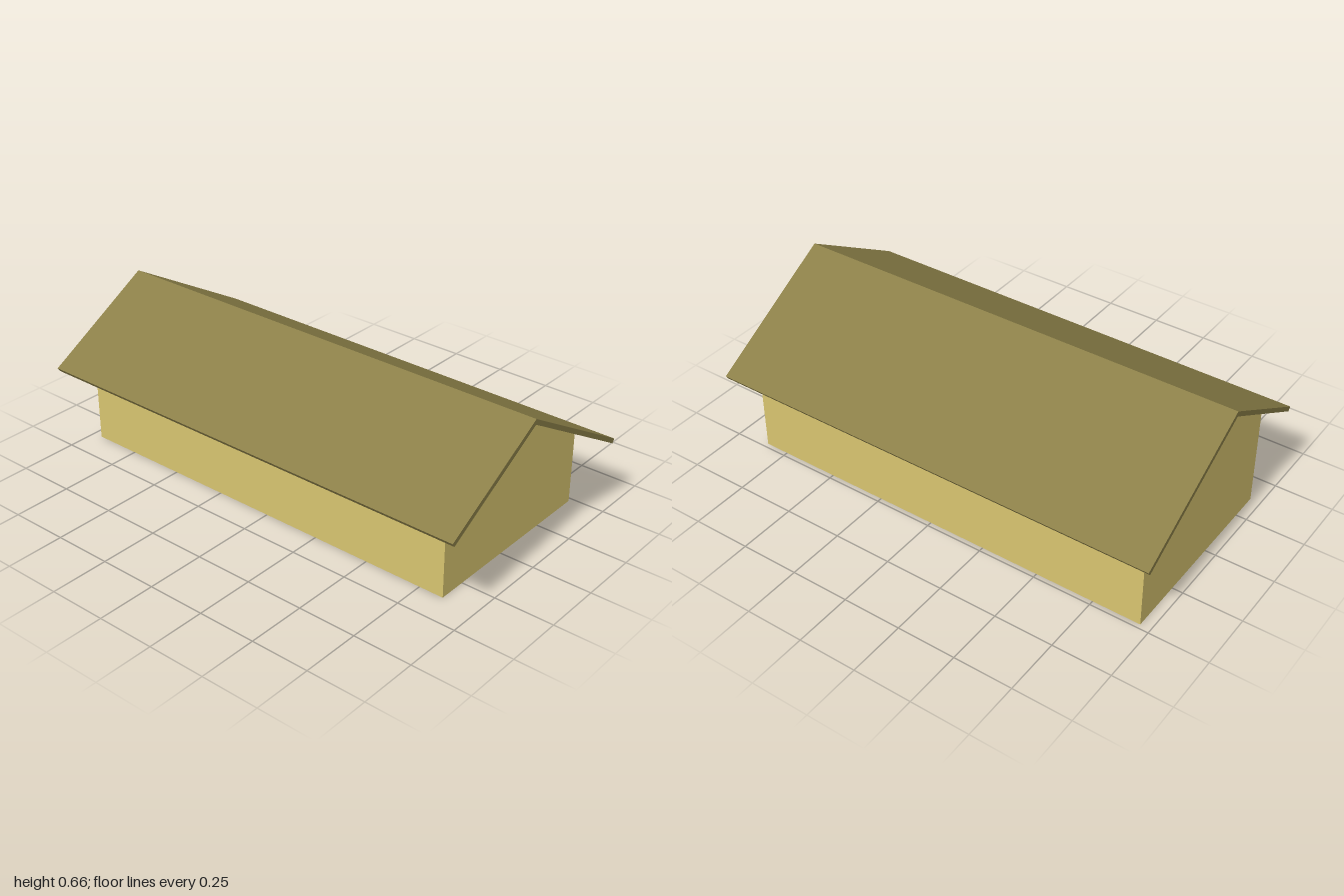
import * as THREE from 'three';

const RIDGE_X = -0.055;
const SLOPE = Math.tan(Math.PI / 6);
const LEFT = 0.48, RIGHT = -0.37, FRONT = 0.855, BACK = -0.955, WALL = 0.02;

// height of the roof underside at x
const eaveY = (x) => 0.635 - Math.abs(x - RIDGE_X) * SLOPE;

// prism with an x-y outline running from z0 to z1
function prism(name, points, z0, z1, material) {
  const shape = new THREE.Shape(points.map(([x, y]) => new THREE.Vector2(x, y)));
  const geometry = new THREE.ExtrudeGeometry(shape, { depth: z1 - z0, bevelEnabled: false });
  geometry.translate(0, 0, z0);
  const mesh = new THREE.Mesh(geometry, material);
  mesh.name = name;
  return mesh;
}

export function createModel() {
  const house = new THREE.Group();
  house.name = 'gabledShed';
  const wallMat = new THREE.MeshStandardMaterial({ color: 0xd8c570 });
  const roofMat = new THREE.MeshStandardMaterial({ color: 0x8b7f48 });
  const floorMat = new THREE.MeshStandardMaterial({ color: 0x8a8a8a });

  // Gable walls
  const gable = [[RIGHT, 0], [LEFT, 0], [LEFT, eaveY(LEFT)], [RIDGE_X, eaveY(RIDGE_X)], [RIGHT, eaveY(RIGHT)]];
  house.add(prism('frontGableWall', gable, FRONT - WALL, FRONT, wallMat));
  house.add(prism('backGableWall', gable, BACK, BACK + WALL, wallMat));

  // Side walls, their tops cut to the roof slope
  for (const [name, a, b] of [['rightWall', RIGHT, RIGHT + WALL], ['leftWall', LEFT - WALL, LEFT]]) {
    const side = [[a, 0], [b, 0], [b, eaveY(b)], [a, eaveY(a)]];
    house.add(prism(name, side, BACK + WALL, FRONT - WALL, wallMat));
  }

  // Floor slab between the walls
  const floor = [[RIGHT + WALL, 0], [LEFT - WALL, 0], [LEFT - WALL, 0.02], [RIGHT + WALL, 0.02]];
  house.add(prism('floor', floor, BACK + WALL, FRONT - WALL, floorMat));

  // Two roof slabs meeting at the off-centre ridge, eaves cut square
  for (const [name, topX, lowX] of [['rightRoofSlab', -0.535, -0.524], ['leftRoofSlab', 0.532, 0.521]]) {
    const slab = [
      [RIDGE_X, eaveY(RIDGE_X)], [lowX, eaveY(lowX)],
      [topX, eaveY(topX) + 0.023], [RIDGE_X, eaveY(RIDGE_X) + 0.023],
    ];
    house.add(prism(name, slab, -1, 1, roofMat));
  }
  return house;
}
